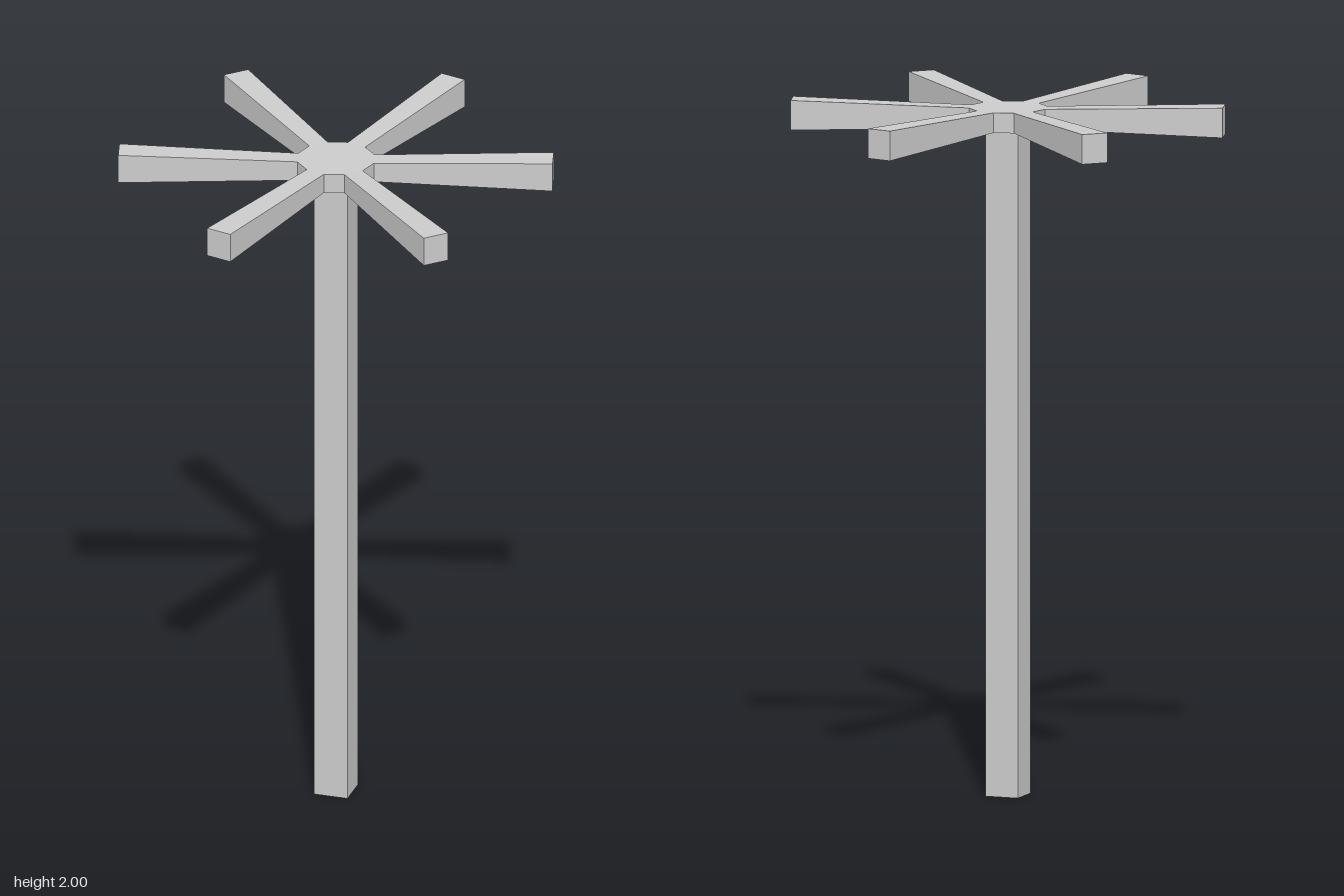
import * as THREE from 'three';

const material = new THREE.MeshStandardMaterial({ color: 0xcccccc, flatShading: true });

const HUB_R = 0.113, HUB_H = 0.058, HUB_Y = 1.957;
const POST_TOP = HUB_Y - HUB_H / 2;

// Square-section arm along +x, flaring from the hub facet to the tip
function armGeometry() {
  const root = HUB_R * Math.cos(Math.PI / 12), tip = 0.62;
  const rootWidth = 2 * HUB_R * Math.sin(Math.PI / 12);
  const g = new THREE.BoxGeometry(1, 1, 1);
  const p = g.attributes.position;
  for (let i = 0; i < p.count; i++) {
    const outer = p.getX(i) > 0;
    p.setXYZ(i,
      outer ? tip : root,
      p.getY(i) * (outer ? 0.086 : HUB_H),
      p.getZ(i) * (outer ? 0.078 : rootWidth));
  }
  g.computeVertexNormals();
  return g;
}

export function createModel() {
  const model = new THREE.Group();
  const add = (name, geometry, y) => {
    const mesh = new THREE.Mesh(geometry, material);
    mesh.name = name;
    mesh.position.y = y;
    model.add(mesh);
    return mesh;
  };

  // Square post
  add('post', new THREE.BoxGeometry(0.1, POST_TOP, 0.1), POST_TOP / 2);

  // Twelve-sided hub
  add('hub', new THREE.CylinderGeometry(HUB_R, HUB_R, HUB_H, 12), HUB_Y);

  // Six arms, one on every second hub facet
  const arm = armGeometry();
  for (let i = 0; i < 6; i++) {
    add('arm' + (i + 1), arm, HUB_Y).rotation.y = Math.PI / 12 + i * Math.PI / 3;
  }
  return model;
}
